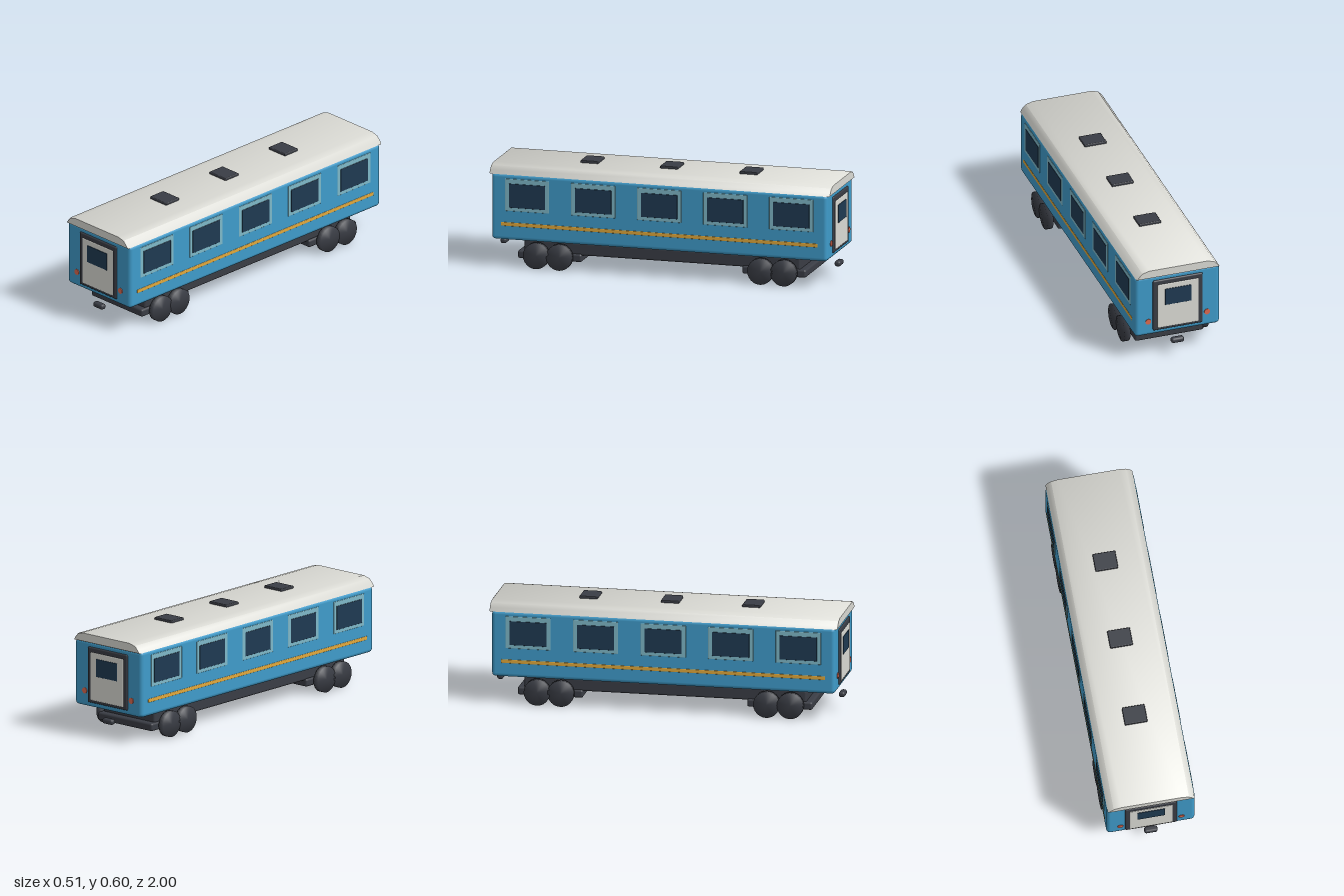
import * as THREE from 'three';
import { RoundedBoxGeometry } from 'three/addons/geometries/RoundedBoxGeometry.js';
import { mergeVertices, toCreasedNormals } from 'three/addons/utils/BufferGeometryUtils.js';

const paint = (color) => new THREE.MeshStandardMaterial({ color });
const blue = paint(0x3f9ccb), cream = paint(0xdcdcd6), dark = paint(0x3a3d45);
const glass = paint(0x1f3a52), trim = paint(0x7fb9c9), gold = paint(0xe3aa3c), red = paint(0xe06a50);

export function createModel() {
  const car = new THREE.Group();
  car.name = 'railCarriage';

  const add = (name, geometry, material, x = 0, y = 0, z = 0, parent = car) => {
    const mesh = new THREE.Mesh(geometry, material);
    mesh.name = name;
    mesh.position.set(x, y, z);
    parent.add(mesh);
    return mesh;
  };
  // Box with softened edges
  const block = (name, w, h, d, r, material, x, y, z, parent) =>
    add(name, new RoundedBoxGeometry(w, h, d, 2, r), material, x, y, z, parent);

  // Body shell and underframe
  block('body', 0.504, 0.385, 1.97, 0.022, blue, 0, 0.35, 0);
  block('underframe', 0.384, 0.074, 1.62, 0.012, dark, 0, 0.119, 0);

  // Roof: arched section swept along the carriage
  const half = [[0.243, 0.537], [0.233, 0.552], [0.213, 0.573], [0.172, 0.584]];
  const outline = [...half, ...half.map(([x, y]) => [-x, y]).reverse()];
  const roofShape = new THREE.Shape(outline.map(([x, y]) => new THREE.Vector2(x, y)));
  const roof = new THREE.ExtrudeGeometry(roofShape, {
    depth: 1.986, bevelEnabled: true, bevelThickness: 0.005, bevelSize: 0.004, bevelSegments: 1,
  });
  roof.translate(0, 0, -0.993);
  add('roof', toCreasedNormals(roof, 0.75), cream);
  for (const z of [-0.467, 0, 0.467]) block('roofVent', 0.13, 0.022, 0.104, 0.005, dark, 0, 0.591, z);

  // Side windows and waist stripes
  for (const side of [-1, 1]) {
    for (let i = -2; i <= 2; i++) {
      const z = i * 0.3875;
      block('windowFrame', 0.012, 0.187, 0.26, 0.003, trim, side * 0.248, 0.42, z);
      block('windowGlass', 0.012, 0.139, 0.214, 0.002, glass, side * 0.25, 0.416, z);
    }
    block('sideStripe', 0.012, 0.022, 1.86, 0.003, gold, side * 0.2475, 0.25, 0);
  }

  // Matching ends: gangway door, lamps and coupler
  const lamp = new THREE.CylinderGeometry(0.017, 0.017, 0.012, 20).rotateX(Math.PI / 2);
  for (const turn of [0, Math.PI]) {
    const end = new THREE.Group();
    end.name = turn ? 'rearEnd' : 'frontEnd';
    end.rotation.y = turn;
    car.add(end);
    block('doorSurround', 0.296, 0.323, 0.03, 0.008, dark, 0, 0.348, 0.979, end);
    block('door', 0.245, 0.28, 0.02, 0.005, cream, 0, 0.342, 0.987, end);
    block('doorWindow', 0.157, 0.103, 0.01, 0.001, glass, 0, 0.398, 0.995, end);
    for (const x of [-0.175, 0.175]) add('tailLamp', lamp, red, x, 0.248, 0.983, end);
    block('coupler', 0.076, 0.032, 0.036, 0.013, dark, 0, 0.098, 0.98, end);
  }

  // Wheels with normals shared across the rim for a soft, domed look
  let wheel = new THREE.CylinderGeometry(0.075, 0.075, 0.034, 24).rotateZ(Math.PI / 2);
  wheel.deleteAttribute('normal');
  wheel.deleteAttribute('uv');
  wheel = mergeVertices(wheel);
  wheel.computeVertexNormals();

  // Bogies
  for (const z of [-0.658, 0.658]) {
    const bogie = new THREE.Group();
    bogie.name = 'bogie';
    bogie.position.z = z;
    car.add(bogie);
    block('bogieFrame', 0.408, 0.046, 0.375, 0.012, dark, 0, 0.068, 0, bogie);
    for (const x of [-0.233, 0.233])
      for (const dz of [-0.068, 0.068]) add('wheel', wheel, dark, x, 0.075, dz, bogie);
  }
  return car;
}
